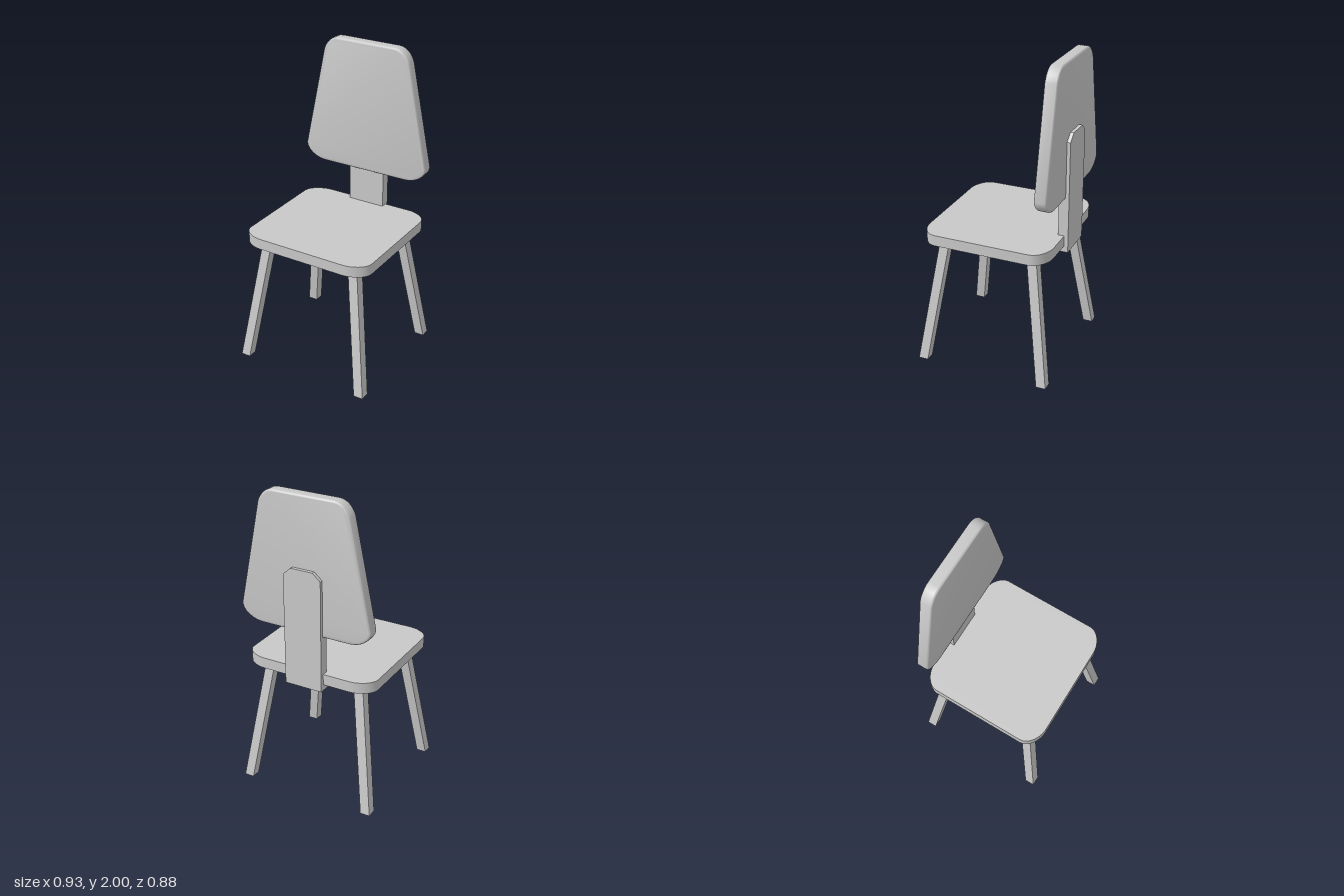
import * as THREE from 'three';
import { toCreasedNormals } from 'three/addons/utils/BufferGeometryUtils.js';

const grey = new THREE.MeshStandardMaterial({ color: 0xc8c8c8 });
grey.name = 'grey';

function part(name, geometry) {
  const mesh = new THREE.Mesh(geometry, grey);
  mesh.name = name;
  return mesh;
}

// Slab seat with rounded corners, extruded upward
function seatGeometry() {
  const x = 0.44, z = 0.415, ix = 0.3, iz = 0.31;
  const s = new THREE.Shape();
  s.moveTo(-ix, -z);
  s.lineTo(ix, -z);
  s.bezierCurveTo(0.36, -z, x, -0.37, x, -iz);
  s.lineTo(x, iz);
  s.bezierCurveTo(x, 0.37, 0.36, z, ix, z);
  s.lineTo(-ix, z);
  s.bezierCurveTo(-0.36, z, -x, 0.37, -x, iz);
  s.lineTo(-x, -iz);
  s.bezierCurveTo(-x, -0.37, -0.36, -z, -ix, -z);
  const g = new THREE.ExtrudeGeometry(s, { depth: 0.07, bevelEnabled: false, curveSegments: 8 });
  g.rotateX(-Math.PI / 2).translate(0, 0.83, 0);
  return toCreasedNormals(g, 0.6);
}

// Tapered backrest with softened rim; outline is inset by the bevel size
function backrestGeometry() {
  const b = 0.014;
  const s = new THREE.Shape();
  s.moveTo(-0.3, 1.145 + b);
  s.lineTo(0.3, 1.145 + b);
  s.bezierCurveTo(0.36, 1.16, 0.425, 1.2, 0.44 - b, 1.245);
  s.lineTo(0.302 - b, 1.91);
  s.bezierCurveTo(0.275, 1.95, 0.24, 2 - b, 0.2, 2 - b);
  s.lineTo(-0.2, 2 - b);
  s.bezierCurveTo(-0.24, 2 - b, -0.275, 1.95, -0.302 + b, 1.91);
  s.lineTo(-0.44 + b, 1.245);
  s.bezierCurveTo(-0.425, 1.2, -0.36, 1.16, -0.3, 1.145 + b);
  const g = new THREE.ExtrudeGeometry(s, {
    depth: 0.08 - 2 * b, bevelThickness: b, bevelSize: b, bevelSegments: 4, curveSegments: 6,
  });
  g.translate(0, 0, -0.418 + b);
  return toCreasedNormals(g, 0.7);
}

// Upright board with clipped top corners
function uprightGeometry() {
  const s = new THREE.Shape([
    [-0.125, 0.79], [0.125, 0.79], [0.125, 1.51], [0.073, 1.555], [-0.073, 1.555], [-0.125, 1.51],
  ].map(([x, y]) => new THREE.Vector2(x, y)));
  return new THREE.ExtrudeGeometry(s, { depth: 0.065, bevelEnabled: false }).translate(0, 0, -0.44);
}

// Square leg sheared toward the seat centre
function legGeometry(sx, sz) {
  const h = 0.835, g = new THREE.BoxGeometry(0.063, h, 0.063).translate(0, h / 2, 0);
  const p = g.attributes.position;
  for (let i = 0; i < p.count; i++) {
    const t = p.getY(i) / h;
    p.setX(i, p.getX(i) + sx * (0.431 - 0.121 * t));
    p.setZ(i, p.getZ(i) + sz * (0.409 - 0.121 * t));
  }
  g.computeVertexNormals();
  return g;
}

export function createModel() {
  const chair = new THREE.Group();
  chair.name = 'chair';
  chair.add(part('seat', seatGeometry()));
  chair.add(part('backrest', backrestGeometry()));
  chair.add(part('backUpright', uprightGeometry()));
  chair.add(part('underSeatBracket', new THREE.BoxGeometry(0.25, 0.042, 0.28).translate(0, 0.811, -0.25)));
  for (const [z, end] of [[1, 'front'], [-1, 'back']]) {
    for (const [x, side] of [[1, 'Left'], [-1, 'Right']]) {
      chair.add(part(end + side + 'Leg', legGeometry(x, z)));
    }
  }
  return chair;
}
